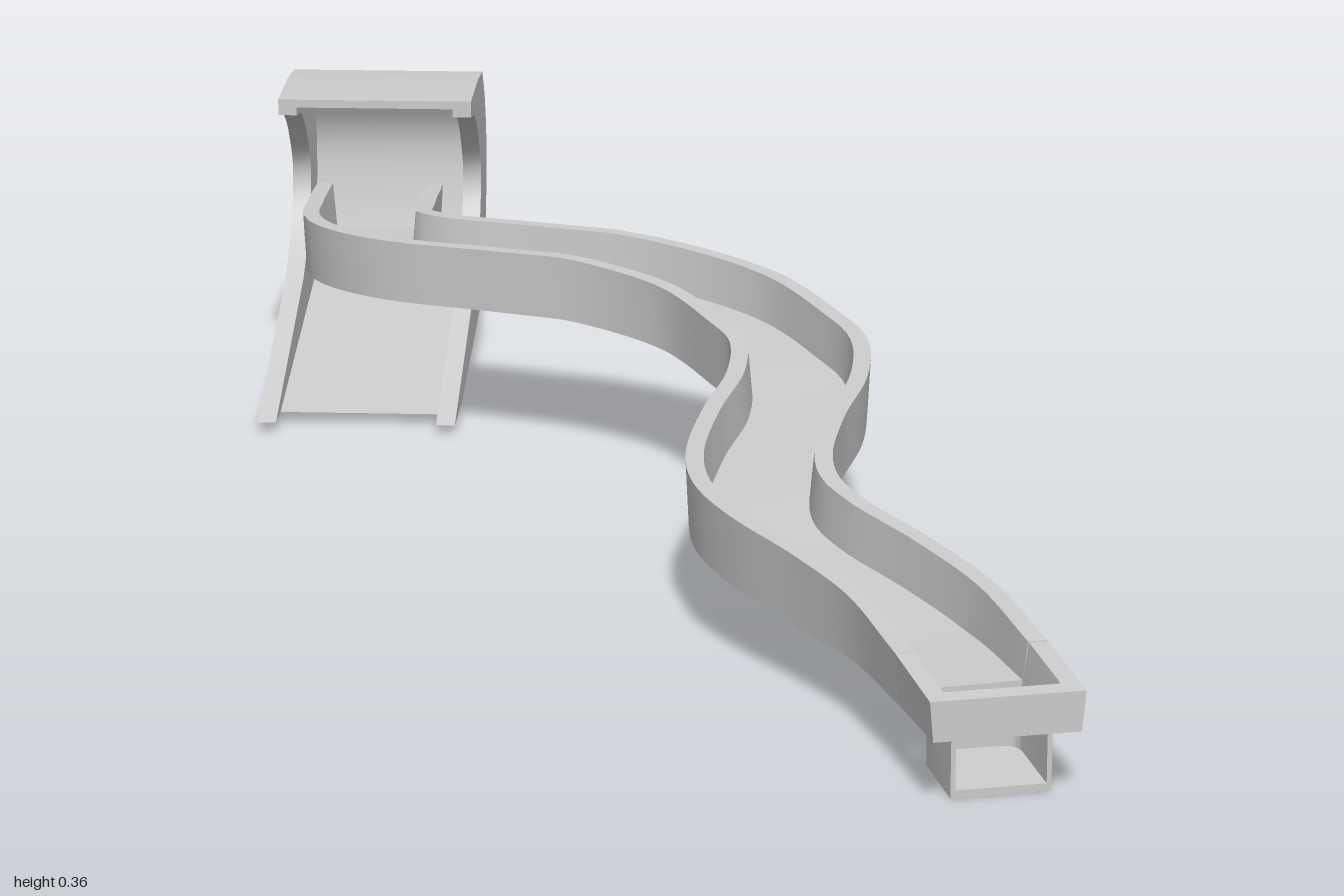
import * as THREE from 'three';
import { toCreasedNormals } from 'three/addons/utils/BufferGeometryUtils.js';

const material = new THREE.MeshStandardMaterial({ color: 0xcccccc, side: THREE.DoubleSide });

function part(name, geometry) {
  const mesh = new THREE.Mesh(toCreasedNormals(geometry, 0.5), material);
  mesh.name = name;
  return mesh;
}

// Centre line of the winding trough as x, z
const centreLine = new THREE.CatmullRomCurve3([
  [-0.11, -0.8], [-0.14, -0.7], [-0.157, -0.62], [-0.12, -0.545], [0, -0.45], [0.11, -0.36],
  [0.19, -0.245], [0.222, -0.11], [0.23, -0.03], [0.2, 0.08], [0.14, 0.2], [0.092, 0.32],
  [0.08, 0.4], [0.092, 0.48], [0.13, 0.6], [0.158, 0.72], [0.165, 0.875],
].map(([x, z]) => new THREE.Vector3(x, 0, z)));

// Heights along the run: level at the back, then a steady fall to the front
const rimY = z => (z < -0.4 ? 0.242 + (z + 0.4) * 0.0175 : 0.242 - 0.132 * (z + 0.4) / 1.4);
const baseY = z => (z < -0.4 ? 0.165 : Math.max(rimY(z) - 0.077, 0.068));
const floorY = z => Math.max(rimY(z) - 0.055, 0.082);

// Sweeps a counter-clockwise section of [side, height] points along a level curve
function sweep(curve, steps, section) {
  const rings = [];
  const up = new THREE.Vector3(0, 1, 0);
  for (let i = 0; i <= steps; i++) {
    const p = curve.getPointAt(i / steps);
    const side = up.clone().cross(curve.getTangentAt(i / steps));
    rings.push(section(p.z).map(([s, y]) => p.clone().addScaledVector(side, s).setY(y)));
  }
  const out = [];
  const tri = (...pts) => pts.forEach(p => out.push(p.x, p.y, p.z));
  const n = rings[0].length;
  for (let i = 0; i < steps; i++) {
    for (let j = 0; j < n; j++) {
      const k = (j + 1) % n;
      const [a, b, c, d] = [rings[i][j], rings[i][k], rings[i + 1][k], rings[i + 1][j]];
      tri(a, b, c);
      tri(a, c, d);
    }
  }
  const outline = section(rings[0][0].z).map(([s, y]) => new THREE.Vector2(s, y));
  const last = rings[steps];
  for (const [a, b, c] of THREE.ShapeUtils.triangulateShape(outline, [])) {
    tri(rings[0][a], rings[0][c], rings[0][b]);
    tri(last[a], last[b], last[c]);
  }
  const geometry = new THREE.BufferGeometry();
  geometry.setAttribute('position', new THREE.Float32BufferAttribute(out, 3));
  geometry.computeVertexNormals();
  return geometry;
}

function makeTrough() {
  const trough = new THREE.Group();
  trough.name = 'trough';
  const outer = 0.08, inner = 0.06;
  trough.add(part('channel', sweep(centreLine, 110, z => [
    [-outer + 0.004, baseY(z)], [outer - 0.004, baseY(z)], [outer, rimY(z)], [inner, rimY(z)],
    [inner - 0.005, floorY(z)], [-inner + 0.005, floorY(z)], [-inner, rimY(z)], [-outer, rimY(z)],
  ])));

  // Frame around the outlet opening at the low end
  const end = new THREE.LineCurve3(new THREE.Vector3(0.165, 0, 0.875), new THREE.Vector3(0.165, 0, 1));
  for (const side of [-1, 1]) {
    trough.add(part('outletSide', sweep(end, 1, z => {
      const loop = [
        [side * 0.052, baseY(z)], [side * 0.076, baseY(z)],
        [side * outer, rimY(z)], [side * inner, rimY(z)],
      ];
      return side > 0 ? loop : loop.reverse();
    })));
  }
  const lip = new THREE.LineCurve3(new THREE.Vector3(0.165, 0, 0.979), new THREE.Vector3(0.165, 0, 1));
  trough.add(part('endWall', sweep(lip, 1, z => [
    [-0.076, baseY(z)], [0.076, baseY(z)], [outer, rimY(z)], [-outer, rimY(z)],
  ])));
  return trough;
}

// Plan of the spout in x and -z, with a rounded back and a flat front
function spoutPlan(half, back, front, radius) {
  const s = new THREE.Shape();
  s.moveTo(-half, -front);
  s.lineTo(half, -front);
  s.lineTo(half, -back - radius);
  s.quadraticCurveTo(half, -back, half - radius, -back);
  s.lineTo(-half + radius, -back);
  s.quadraticCurveTo(-half, -back, -half, -back - radius);
  s.closePath();
  return s;
}

function makeSpout() {
  const spout = new THREE.Group();
  spout.name = 'spout';
  // U-shaped wall, open to the front
  const back = 0.872, front = 0.975, r = 0.025, h = 0.052, t = 0.005;
  const wall = new THREE.Shape();
  wall.moveTo(h - t, -front);
  wall.lineTo(h, -front);
  wall.lineTo(h, -back - r);
  wall.quadraticCurveTo(h, -back, h - r, -back);
  wall.lineTo(-h + r, -back);
  wall.quadraticCurveTo(-h, -back, -h, -back - r);
  wall.lineTo(-h, -front);
  wall.lineTo(-h + t, -front);
  wall.lineTo(-h + t, -back - r);
  wall.quadraticCurveTo(-h + t, -back - t, -h + r, -back - t);
  wall.lineTo(h - r, -back - t);
  wall.quadraticCurveTo(h - t, -back - t, h - t, -back - r);
  wall.closePath();
  const wallGeo = new THREE.ExtrudeGeometry(wall, { depth: 0.07, bevelEnabled: false, curveSegments: 8 });
  const baseGeo = new THREE.ExtrudeGeometry(spoutPlan(h, back, front, r),
    { depth: 0.008, bevelEnabled: false, curveSegments: 8 });
  for (const [name, geo] of [['spoutWall', wallGeo], ['spoutBase', baseGeo]]) {
    geo.rotateX(-Math.PI / 2);
    // Tilt the underside down towards the front
    const p = geo.attributes.position;
    for (let i = 0; i < p.count; i++) {
      const lift = (front - p.getZ(i)) * 0.08;
      if (p.getY(i) < 0.05) p.setY(i, p.getY(i) + lift);
    }
    geo.computeVertexNormals();
    geo.translate(0.167, 0, 0);
    spout.add(part(name, geo));
  }
  return spout;
}

// Smooth run through [depth, height] points
function smooth(points) {
  return new THREE.SplineCurve(points.map(p => new THREE.Vector2(...p))).getPoints(24);
}

function makeScoop() {
  const scoop = new THREE.Group();
  scoop.name = 'scoop';
  const width = 0.242, flange = 0.023;
  const v = (x, y) => new THREE.Vector2(x, y);
  const outer = [v(0.24, 0.357), v(0.13, 0.362),
    ...smooth([[0.06, 0.358], [0.022, 0.315], [0, 0.245], [0.022, 0.125], [0.06, 0.07]]), v(0.41, 0.012)];
  const inner = [v(0.46, 0.012),
    ...smooth([[0.072, 0.083], [0.036, 0.128], [0.014, 0.245], [0.036, 0.308], [0.07, 0.346]]),
    v(0.13, 0.35), v(0.24, 0.347)];
  const flangeEdge = [v(0.51, 0.012),
    ...smooth([[0.19, 0.115], [0.115, 0.17], [0.09, 0.235], [0.135, 0.295], [0.19, 0.33]]), v(0.24, 0.337)];

  const slab = (name, points, depth, offset) => {
    const geo = new THREE.ExtrudeGeometry(new THREE.Shape(points), { depth, bevelEnabled: false });
    geo.translate(0, 0, offset);
    scoop.add(part(name, geo));
  };
  slab('curvedPlate', [...outer, ...inner], width - 2 * flange, -width / 2 + flange);
  slab('leftFlange', [...outer, ...flangeEdge], flange, -width / 2);
  slab('rightFlange', [...outer, ...flangeEdge], flange, width / 2 - flange);

  scoop.rotation.y = -THREE.MathUtils.degToRad(106.5);
  scoop.position.set(-0.06, 0, -0.966);
  return scoop;
}

export function createModel() {
  const model = new THREE.Group();
  model.name = 'windingChute';
  model.add(makeTrough(), makeSpout(), makeScoop());
  return model;
}
